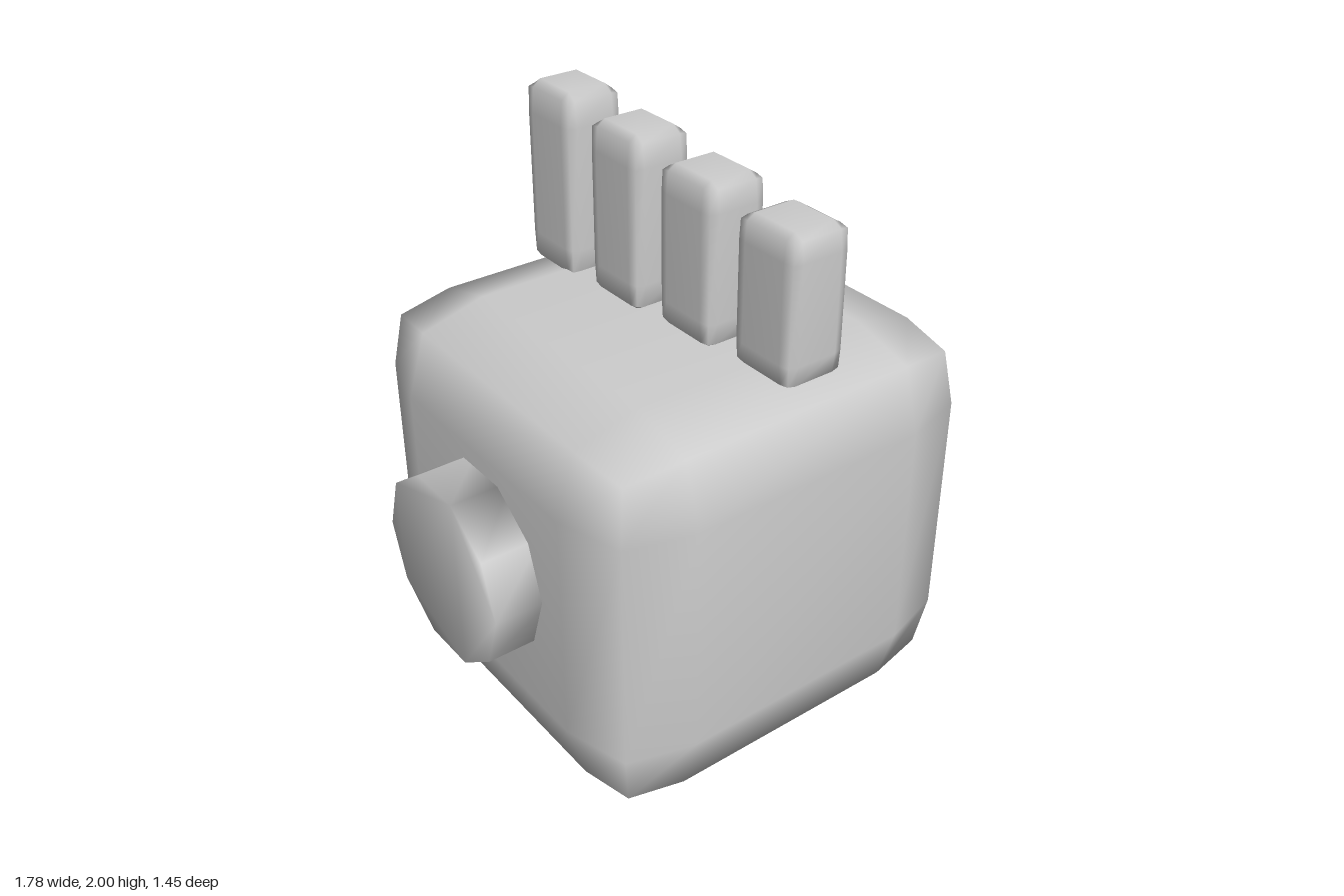
import * as THREE from 'three';
import { mergeVertices } from 'three/addons/utils/BufferGeometryUtils.js';

// Weld all shared corners so the shading runs smoothly over every edge
function smooth(geometry) {
  geometry.deleteAttribute('uv');
  geometry.deleteAttribute('normal');
  geometry.clearGroups();
  const welded = mergeVertices(geometry);
  welded.computeVertexNormals();
  return welded;
}

// Box with one wide bevel: face, edge and corner points are pulled in step by step
function softBox(hx, hy, hz, inner, edge, corner) {
  const geometry = new THREE.BoxGeometry(2, 2, 2, 3, 3, 3);
  const pos = geometry.attributes.position;
  const outer = [0, 1, edge, corner];
  for (let i = 0; i < pos.count; i++) {
    const p = [pos.getX(i), pos.getY(i), pos.getZ(i)];
    const extremes = p.filter((v) => Math.abs(v) > 0.9).length;
    const q = p.map((v) => Math.sign(v) * (Math.abs(v) > 0.9 ? outer[extremes] : inner));
    pos.setXYZ(i, q[0] * hx, q[1] * hy, q[2] * hz);
  }
  return smooth(geometry);
}

export function createModel() {
  const group = new THREE.Group();
  const grey = new THREE.MeshStandardMaterial({ color: 0xcccccc });
  grey.name = 'plainGrey';

  const add = (name, geometry, x, y, z) => {
    const mesh = new THREE.Mesh(geometry, grey);
    mesh.name = name;
    mesh.position.set(x, y, z);
    group.add(mesh);
    return mesh;
  };

  // Rounded cube body
  add('body', softBox(0.727, 0.69, 0.727, 0.595, 0.91, 0.872), 0, 0.69, 0);

  // Row of upright crest blocks, growing taller toward the back
  for (let i = 0; i < 4; i++) {
    const bottom = 1.43 - i * 0.027;
    const top = 1.92 + i * 0.0267;
    const geometry = softBox(0.107, (top - bottom) / 2, 0.125, 0.66, 0.93, 0.91);
    add('crestBlock' + (i + 1), geometry, 0, (top + bottom) / 2, 0.585 - i * 0.365);
  }

  // Ten-sided discs on both sides
  const points = [];
  for (let i = 0; i < 10; i++) {
    const a = (i / 10) * Math.PI * 2;
    points.push(new THREE.Vector2(Math.cos(a) * 0.326, Math.sin(a) * 0.326));
  }
  const disc = smooth(new THREE.ExtrudeGeometry(new THREE.Shape(points), {
    depth: 0.21, bevelEnabled: false, steps: 1,
  }));
  for (const side of [1, -1]) {
    const mesh = add(side > 0 ? 'leftDisc' : 'rightDisc', disc, side * 0.682, 0.73, 0);
    mesh.rotation.y = (side * Math.PI) / 2;
  }

  return group;
}
